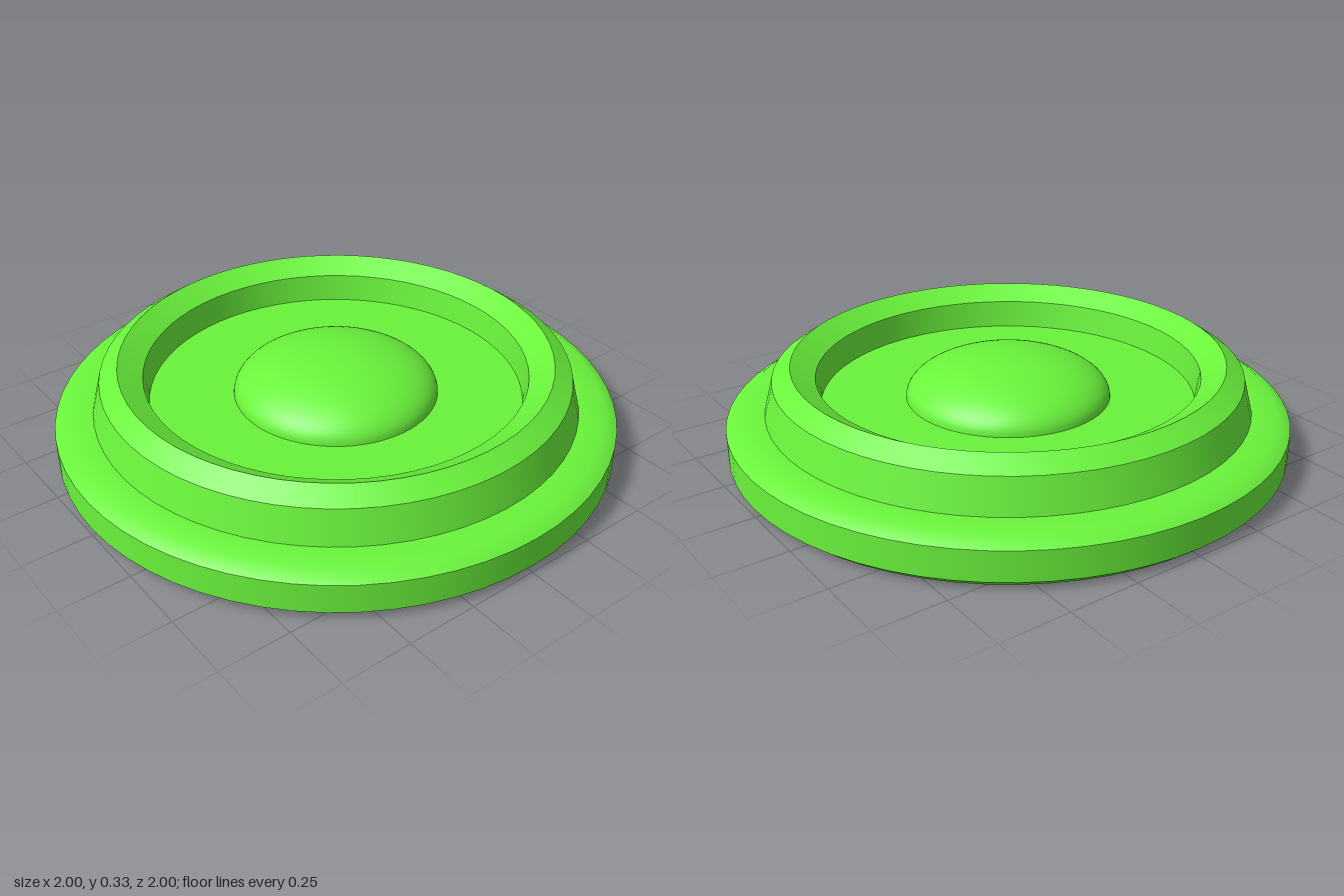
import * as THREE from 'three';

const SEGMENTS = 64;
const material = new THREE.MeshStandardMaterial({ color: 0x6af43b });

// Revolve a profile of [radius, height] points; normals are smooth inside one strip.
function revolve(name, profile) {
  const points = profile.map(([r, y]) => new THREE.Vector2(r, y));
  const mesh = new THREE.Mesh(new THREE.LatheGeometry(points, SEGMENTS), material);
  mesh.name = name;
  return mesh;
}

export function createModel() {
  const model = new THREE.Group();
  model.name = 'domedDisc';

  // Wide base disc with chamfered edges and a softly rounded shoulder
  const base = new THREE.Group();
  base.name = 'base';
  base.add(
    revolve('underside', [[0, 0], [0.968, 0]]),
    revolve('lowerChamfer', [[0.968, 0], [1, 0.028]]),
    revolve('baseWall', [[1, 0.028], [1, 0.135]]),
    revolve('shoulder', [[1, 0.135], [0.953, 0.165], [0.865, 0.165]]),
  );

  // Raised ring around the recess
  const rim = new THREE.Group();
  rim.name = 'rim';
  rim.add(
    revolve('rimOuterWall', [[0.865, 0.165], [0.833, 0.285]]),
    revolve('rimOuterBevel', [[0.833, 0.285], [0.767, 0.33]]),
    revolve('rimInnerBevel', [[0.767, 0.33], [0.682, 0.28]]),
    revolve('rimInnerWall', [[0.682, 0.28], [0.668, 0.178]]),
  );

  // Recessed floor with a flattened dome in the middle
  const floorY = 0.178, domeRadius = 0.367, domeHeight = 0.145, steps = 16;
  const dome = [];
  for (let i = 0; i <= steps; i++) {
    const a = (i / steps) * Math.PI / 2;
    dome.push([i === steps ? 0 : domeRadius * Math.cos(a), floorY + domeHeight * Math.sin(a)]);
  }
  model.add(
    base,
    rim,
    revolve('recessFloor', [[0.668, floorY], [domeRadius, floorY]]),
    revolve('dome', dome),
  );
  return model;
}
